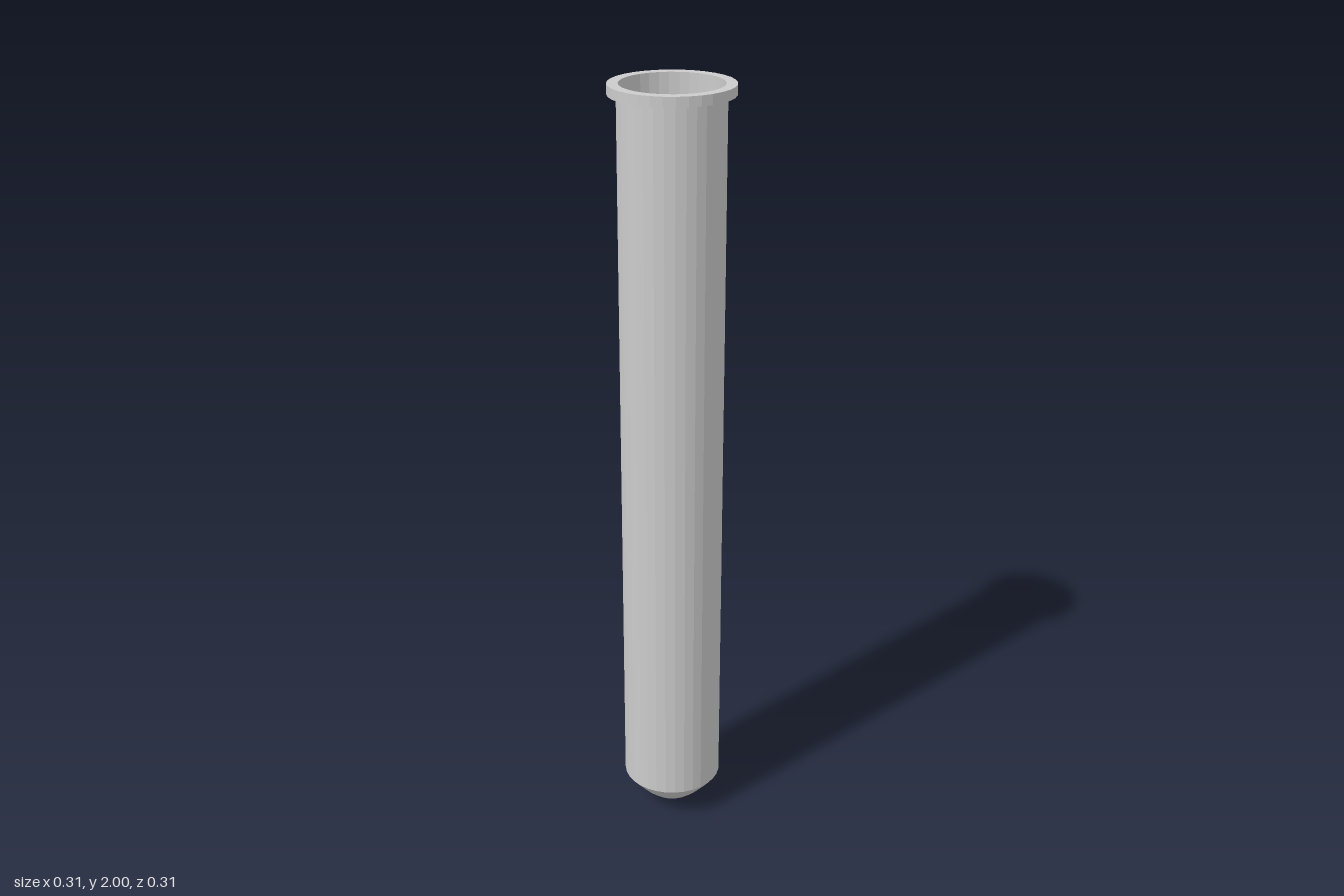
import * as THREE from 'three';

const SIDES = 32;

// Revolve a list of [radius, height] pairs, running bottom to top on outer faces
function lathe(name, pairs, material) {
  const points = pairs.map(([r, y]) => new THREE.Vector2(r, y));
  const mesh = new THREE.Mesh(new THREE.LatheGeometry(points, SIDES), material);
  mesh.name = name;
  return mesh;
}

export function createModel() {
  const group = new THREE.Group();
  group.name = 'testTube';
  const material = new THREE.MeshStandardMaterial({ color: 0xcccccc, flatShading: true });

  const top = 2, rimBase = 1.975, shoulder = 0.093;
  const outer = 0.131, inner = 0.126, rim = 0.153;

  // Rounded, slightly conical bottom
  const dome = [[0, 0], [0.02, 0.002], [0.042, 0.01], [0.064, 0.023], [0.086, 0.042], [0.108, 0.066], [outer, shoulder]];
  group.add(lathe('roundedBottom', dome, material));

  // Long straight outer wall
  group.add(lathe('outerWall', [[outer, shoulder], [outer, rimBase]], material));

  // Flat lip around the mouth
  group.add(lathe('rim', [[outer, rimBase], [rim, rimBase], [rim, top], [inner, top]], material));

  // Hollow inside, following the outside with a thin wall
  const floor = dome.map(([r, y]) => [r * inner / outer, y + 0.005]).reverse();
  group.add(lathe('innerWall', [[inner, top], ...floor], material));

  return group;
}
